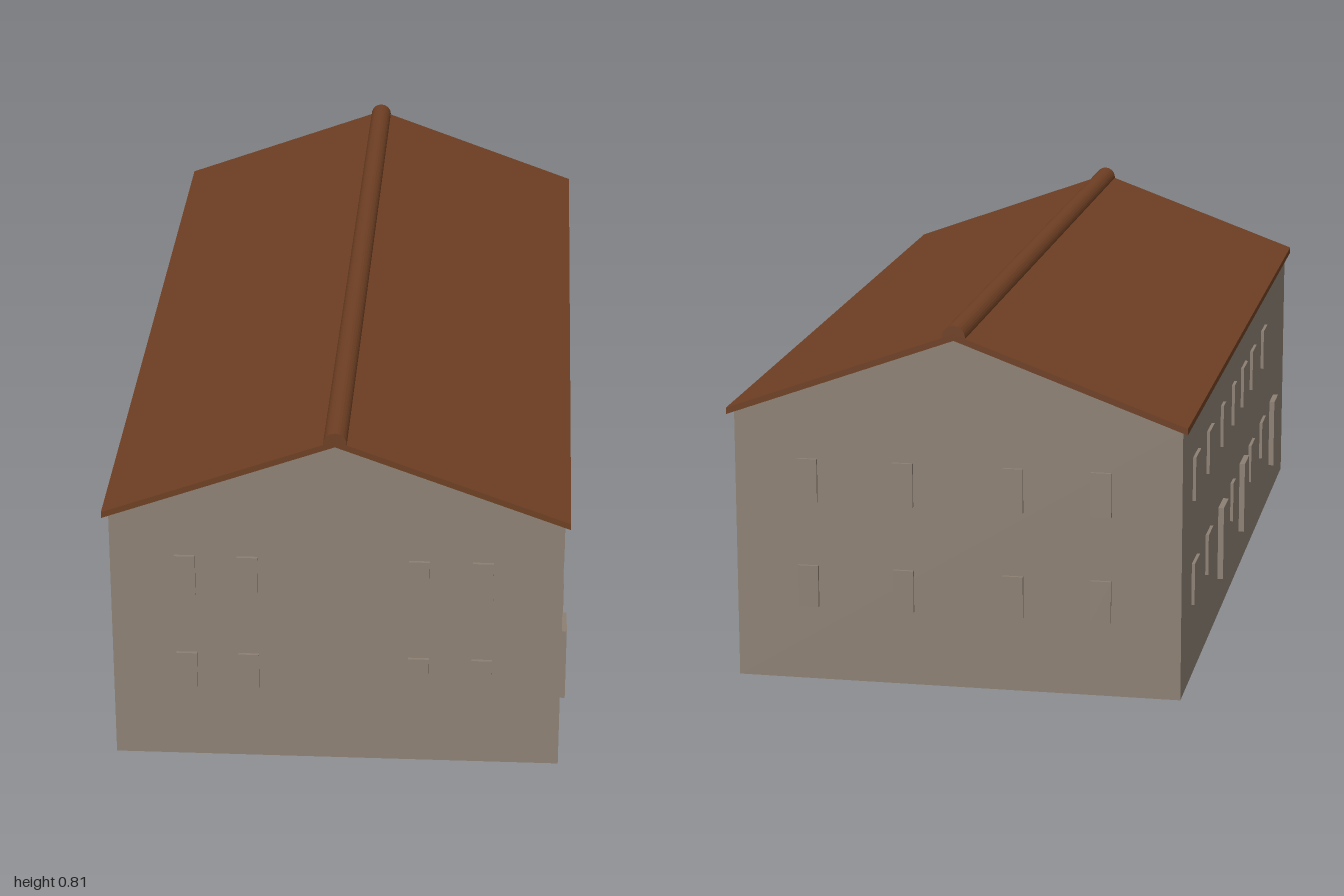
import * as THREE from 'three';

export function createModel() {
  const wallMat = new THREE.MeshStandardMaterial({ color: 0x8c8073, side: THREE.DoubleSide });
  wallMat.name = 'taupe plaster';
  const roofMat = new THREE.MeshStandardMaterial({ color: 0x6e3f23, flatShading: true });
  roofMat.name = 'brown roof tiles';

  const W = 0.4875, L = 0.963;             // half width and half length of the walls
  const EAVE = 0.596, APEX = 0.773;        // wall heights at the sides and in the gable
  const RW = 0.5, RL = 0.983;              // half width and half length of the roof

  const house = new THREE.Group();
  house.name = 'house';
  const add = (parent, name, geometry, material) => {
    const mesh = new THREE.Mesh(geometry, material);
    mesh.name = name;
    parent.add(mesh);
    return mesh;
  };
  const shapeOf = (pts) => new THREE.Shape(pts.map(([x, y]) => new THREE.Vector2(x, y)));

  // Each wall is a group whose local +z points outwards
  const makeWall = (name, geometry, x, z, turn) => {
    const group = new THREE.Group();
    group.name = name;
    group.position.set(x, 0, z);
    group.rotation.y = turn;
    add(group, name + 'Surface', geometry, wallMat);
    house.add(group);
    return group;
  };
  const gable = new THREE.ShapeGeometry(shapeOf([[-W, 0], [W, 0], [W, EAVE], [0, APEX], [-W, EAVE]]));
  const side = new THREE.PlaneGeometry(2 * L, EAVE).translate(0, EAVE / 2, 0);
  const front = makeWall('frontGable', gable, 0, L, 0);
  const back = makeWall('backGable', gable, 0, -L, Math.PI);
  const left = makeWall('leftWall', side, W, 0, Math.PI / 2);
  const right = makeWall('rightWall', side, -W, 0, -Math.PI / 2);

  // Windows and doors are shallow panels set through the wall
  const panel = (wall, name, x, y0, y1, width, out) => {
    const mesh = add(wall, name, new THREE.BoxGeometry(width, y1 - y0, out * 2), wallMat);
    mesh.position.set(x, (y0 + y1) / 2, 0);
  };
  const lowerWindow = (wall, x, w) => panel(wall, 'lowerWindow', x, 0.165, 0.258, w, 0.007);
  const upperWindow = (wall, x, w) => panel(wall, 'upperWindow', x, 0.4, 0.497, w, 0.007);
  const door = (wall, x) => panel(wall, 'door', x, 0.09, 0.26, 0.085, 0.013);

  const WIDE = 0.08, NARROW = 0.045;
  for (const x of [-0.326, -0.191, 0.179, 0.316]) {
    lowerWindow(front, x, NARROW);
    upperWindow(front, x, NARROW);
  }
  for (const x of [0.328, 0.117, -0.123, -0.314]) {
    lowerWindow(back, -x, NARROW);
    upperWindow(back, -x, NARROW);
  }

  // Long walls: [z, lower opening, upper window width]
  const leftBays = [
    [0.79, 'door', 0], [0.574, WIDE, WIDE], [0.344, WIDE, WIDE], [0.158, 'door', WIDE],
    [-0.029, NARROW, NARROW], [-0.237, 'door', 0], [-0.452, WIDE, WIDE], [-0.764, WIDE, WIDE],
  ];
  const rightBays = [
    [-0.765, WIDE, WIDE], [-0.54, WIDE, WIDE], [-0.32, 'door', NARROW], [-0.117, NARROW, NARROW],
    [0.075, 'door', WIDE], [0.254, WIDE, WIDE], [0.483, WIDE, WIDE], [0.702, 'door', 0],
  ];
  for (const [wall, bays, dir] of [[left, leftBays, -1], [right, rightBays, 1]]) {
    for (const [z, lower, upper] of bays) {
      if (lower === 'door') door(wall, z * dir);
      else lowerWindow(wall, z * dir, lower);
      if (upper) upperWindow(wall, z * dir, upper);
    }
  }

  // Pitched roof slab
  const roofShape = shapeOf([
    [-RW, 0.592], [0, 0.774], [RW, 0.592], [RW, 0.606], [0, 0.788], [-RW, 0.606],
  ]);
  const slab = new THREE.ExtrudeGeometry(roofShape, { depth: 2 * RL, bevelEnabled: false });
  add(house, 'roof', slab.translate(0, 0, -RL), roofMat);

  // Rounded ridge cap: the upper part of a circle, closed underneath
  const cap = new THREE.Shape();
  cap.absarc(0, 0.781, 0.025, -0.15, Math.PI + 0.15, false);
  const ridge = new THREE.ExtrudeGeometry(cap, { depth: 2 * RL, bevelEnabled: false, curveSegments: 8 });
  add(house, 'ridgeCap', ridge.translate(0, 0, -RL), roofMat);

  // The building stands slightly turned on its plot
  house.rotation.y = -0.0305;
  const model = new THREE.Group();
  model.name = 'building';
  model.add(house);
  return model;
}
